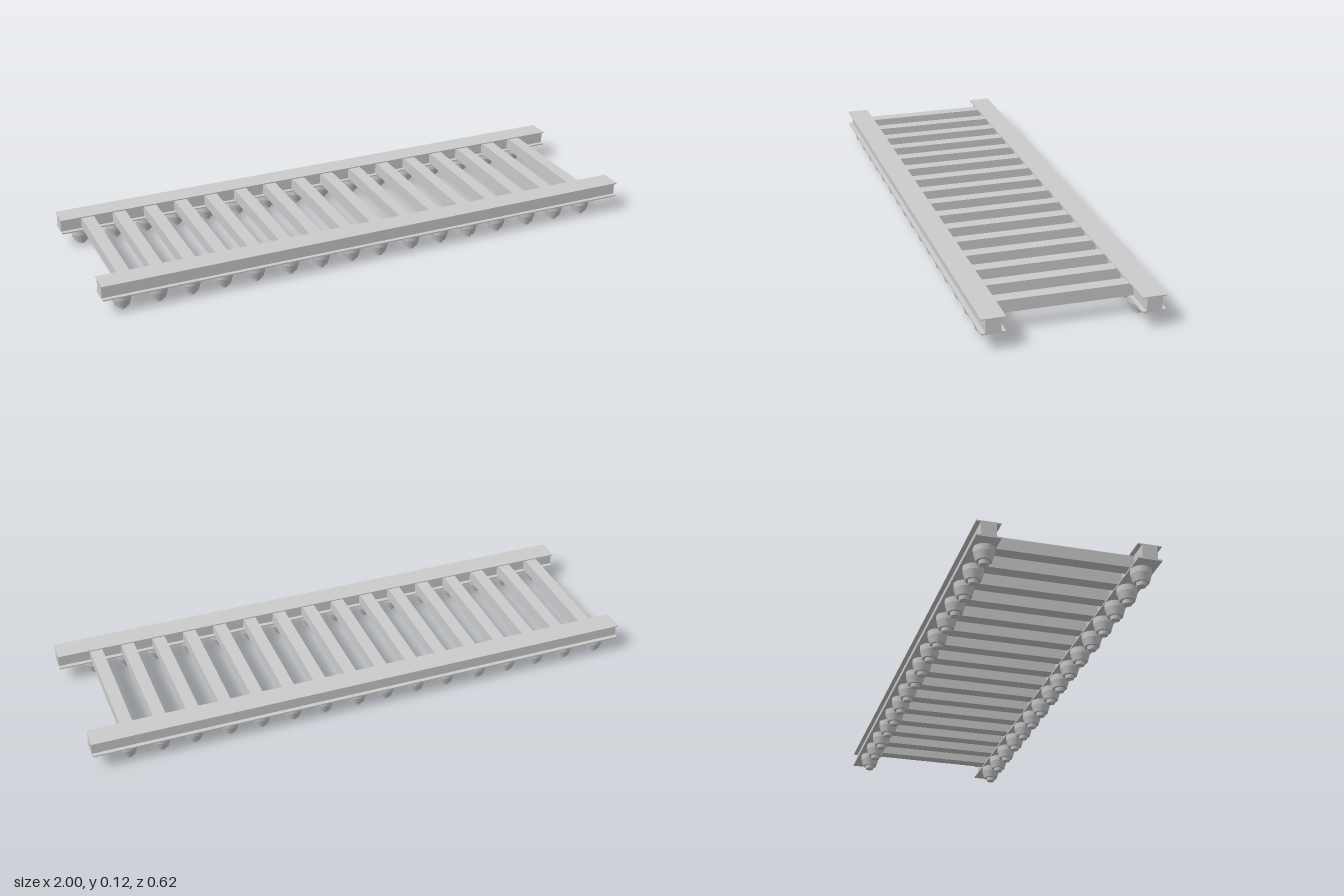
import * as THREE from 'three';

const material = new THREE.MeshStandardMaterial({ color: 0xcccccc });

function add(parent, name, geometry, x, y, z) {
  const mesh = new THREE.Mesh(geometry, material);
  mesh.name = name;
  mesh.position.set(x, y, z);
  parent.add(mesh);
  return mesh;
}

export function createModel() {
  const model = new THREE.Group();
  model.name = 'rollerFrame';

  // I-beam cross-section, extruded along x
  const half = [[0.041, 0.06], [0.041, 0.065], [0.026, 0.065], [0.026, 0.111], [0.041, 0.111], [0.041, 0.115]];
  const outline = [...half, ...half.map(([z, y]) => [-z, y]).reverse()];
  const profile = new THREE.Shape(outline.map(([z, y]) => new THREE.Vector2(z, y)));
  const railGeometry = new THREE.ExtrudeGeometry(profile, { depth: 2, bevelEnabled: false });
  railGeometry.translate(0, 0, -1).rotateY(Math.PI / 2);

  // Foot: collar, tapered cup and short stem
  const collar = new THREE.CylinderGeometry(0.0355, 0.0345, 0.02, 16);
  const cup = new THREE.CylinderGeometry(0.0345, 0.0265, 0.027, 16);
  const stem = new THREE.CylinderGeometry(0.0175, 0.0155, 0.013, 16);
  const footX = [-0.925, -0.797, -0.68, -0.563, -0.443, -0.316, -0.198, -0.08,
    0.028, 0.155, 0.272, 0.39, 0.507, 0.635, 0.753, 0.87];

  for (const side of [1, -1]) {
    const label = side > 0 ? 'front' : 'back';
    add(model, label + 'Rail', railGeometry, 0, 0, side * 0.267);
    for (const x of footX) {
      const foot = new THREE.Group();
      foot.name = label + 'Foot';
      foot.position.set(x, 0, side * 0.2625);
      add(foot, 'footCollar', collar, 0, 0.05, 0);
      add(foot, 'footCup', cup, 0, 0.0265, 0);
      add(foot, 'footStem', stem, 0, 0.0065, 0);
      model.add(foot);
    }
  }

  // Evenly spaced crossbars between the rails
  const bar = new THREE.BoxGeometry(0.045, 0.044, 0.484);
  for (let i = 0; i < 16; i++) add(model, 'crossbar', bar, -0.902 + i * 0.1175, 0.088, 0);

  return model;
}
